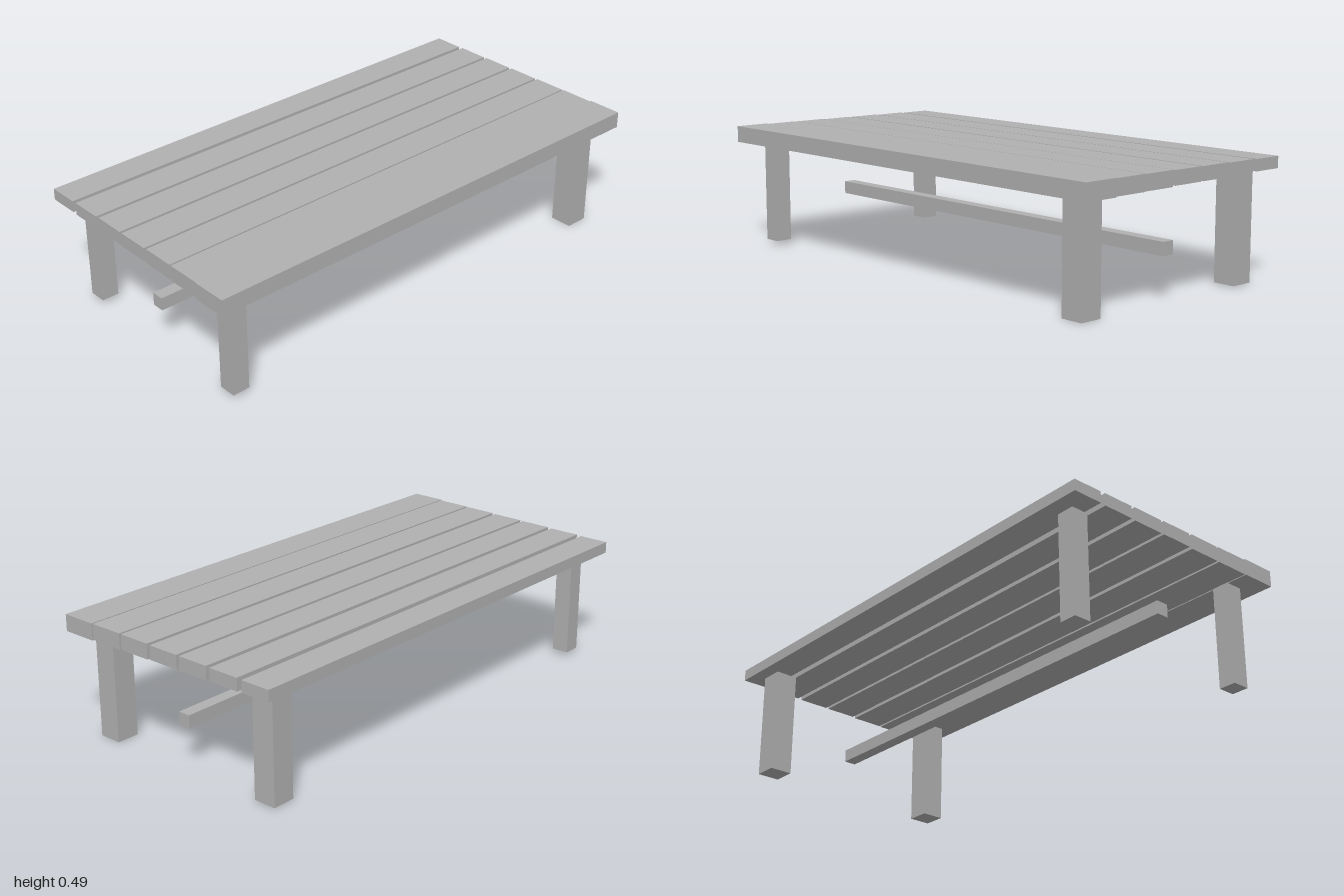
import * as THREE from 'three';

export function createModel() {
  const model = new THREE.Group();
  model.name = 'slattedTable';

  const grey = new THREE.MeshStandardMaterial({ color: 0xb0b0b0 });
  grey.name = 'plain grey';

  // Box given by its lower and upper limits on each axis
  function addBox(name, [x0, x1], [y0, y1], [z0, z1]) {
    const mesh = new THREE.Mesh(new THREE.BoxGeometry(x1 - x0, y1 - y0, z1 - z0), grey);
    mesh.name = name;
    mesh.position.set((x0 + x1) / 2, (y0 + y1) / 2, (z0 + z1) / 2);
    model.add(mesh);
  }

  // Top slats, front to back, slightly thinner and narrower towards the back:
  // [half length, bottom, top, back edge, front edge]
  const slats = [
    [1.0, 0.422, 0.487, 0.359, 0.5],
    [0.996, 0.424, 0.485, 0.217, 0.357],
    [0.995, 0.425, 0.484, 0.075, 0.209],
    [0.995, 0.428, 0.482, -0.07, 0.062],
    [0.994, 0.428, 0.481, -0.213, -0.083],
    [0.994, 0.43, 0.479, -0.357, -0.229],
    [0.994, 0.432, 0.477, -0.5, -0.378],
  ];
  slats.forEach(([half, y0, y1, z0, z1], i) =>
    addBox(`slat${i + 1}`, [-half, half], [y0, y1], [z0, z1]));

  // Square legs, thicker at the left end: [name, x, z, half width, bottom, top]
  const legs = [
    ['frontLeftLeg', 0.876, 0.39, 0.046, 0, 0.448],
    ['backLeftLeg', 0.876, -0.4, 0.046, 0.004, 0.444],
    ['frontRightLeg', -0.879, 0.39, 0.035, 0.017, 0.44],
    ['backRightLeg', -0.879, -0.4, 0.035, 0.019, 0.44],
  ];
  for (const [name, x, z, h, y0, y1] of legs) {
    addBox(name, [x - h, x + h], [y0, y1], [z - h, z + h]);
  }

  // Long rail under the top
  addBox('lowerRail', [-0.91, 0.91], [0.166, 0.217], [-0.029, 0.021]);

  return model;
}
